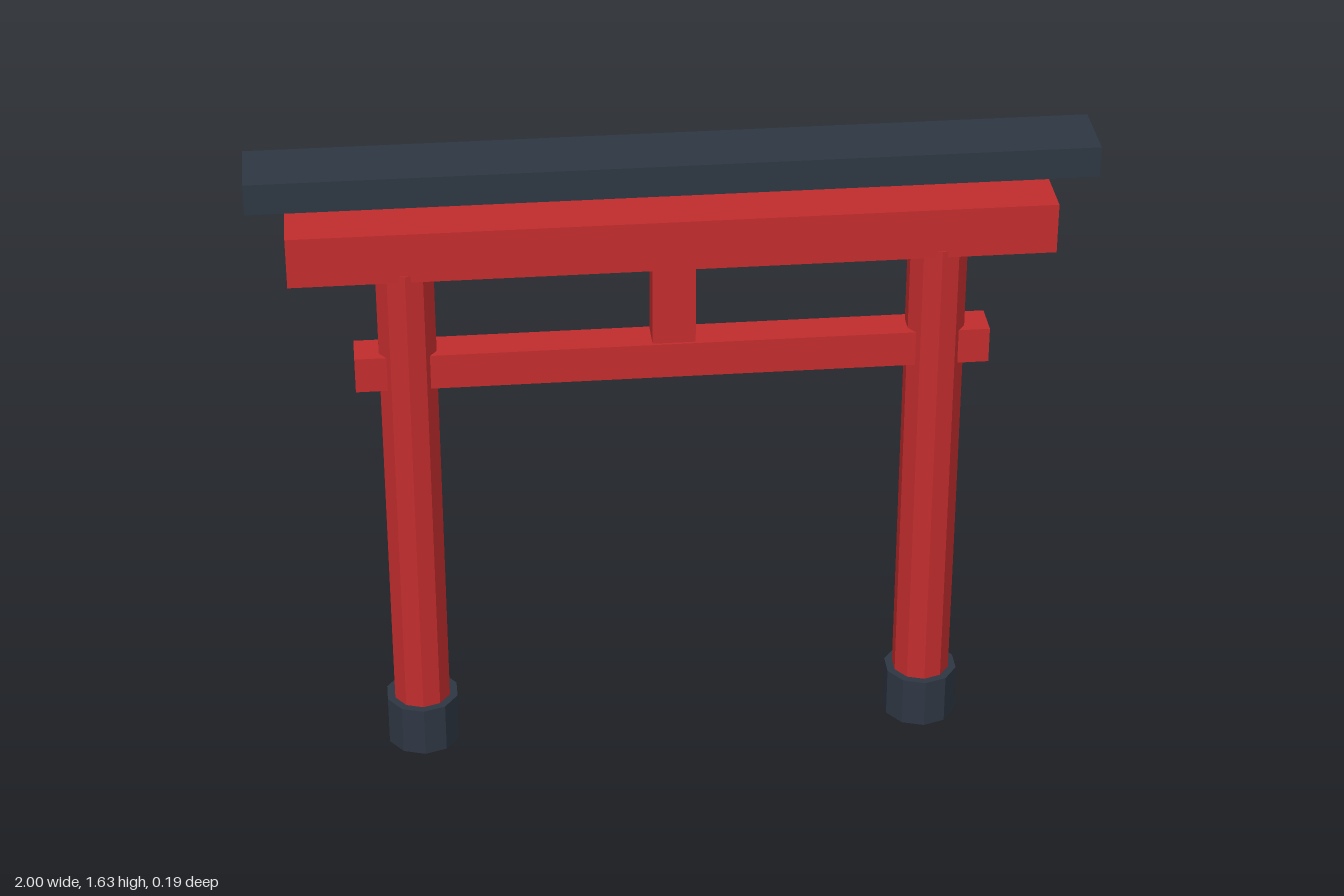
import * as THREE from 'three';

export function createModel() {
  const gate = new THREE.Group();
  gate.name = 'gate';
  const red = new THREE.MeshStandardMaterial({ color: 0xc42d2d, flatShading: true });
  red.name = 'red paint';
  const slate = new THREE.MeshStandardMaterial({ color: 0x2e3743, flatShading: true });
  slate.name = 'dark slate';

  const add = (name, geometry, material, x, y) => {
    const mesh = new THREE.Mesh(geometry, material);
    mesh.name = name;
    mesh.position.set(x, y, 0);
    gate.add(mesh);
  };
  // Box centred on x and z, spanning bottom to top
  const beam = (name, width, bottom, top, depth, material) =>
    add(name, new THREE.BoxGeometry(width, top - bottom, depth), material, 0, (bottom + top) / 2);
  // Ten-sided upright with a corner facing the front
  const post = (name, radius, bottom, top, material, x) =>
    add(name, new THREE.CylinderGeometry(radius, radius, top - bottom, 10), material, x, (bottom + top) / 2);

  // Pillars standing in dark footings
  for (const [side, x] of [['left', 0.637], ['right', -0.637]]) {
    post(side + 'Footing', 0.0925, 0, 0.13, slate, x);
    post(side + 'Pillar', 0.0725, 0.005, 1.36, red, x);
  }

  // Crossbeams, centre strut and floating top cap
  beam('tieBeam', 1.53, 1.04, 1.13, 0.092, red);
  beam('centreStrut', 0.104, 1.12, 1.35, 0.078, red);
  beam('lintel', 1.824, 1.343, 1.47, 0.136, red);
  beam('topCap', 2, 1.55, 1.627, 0.177, slate);

  return gate;
}
